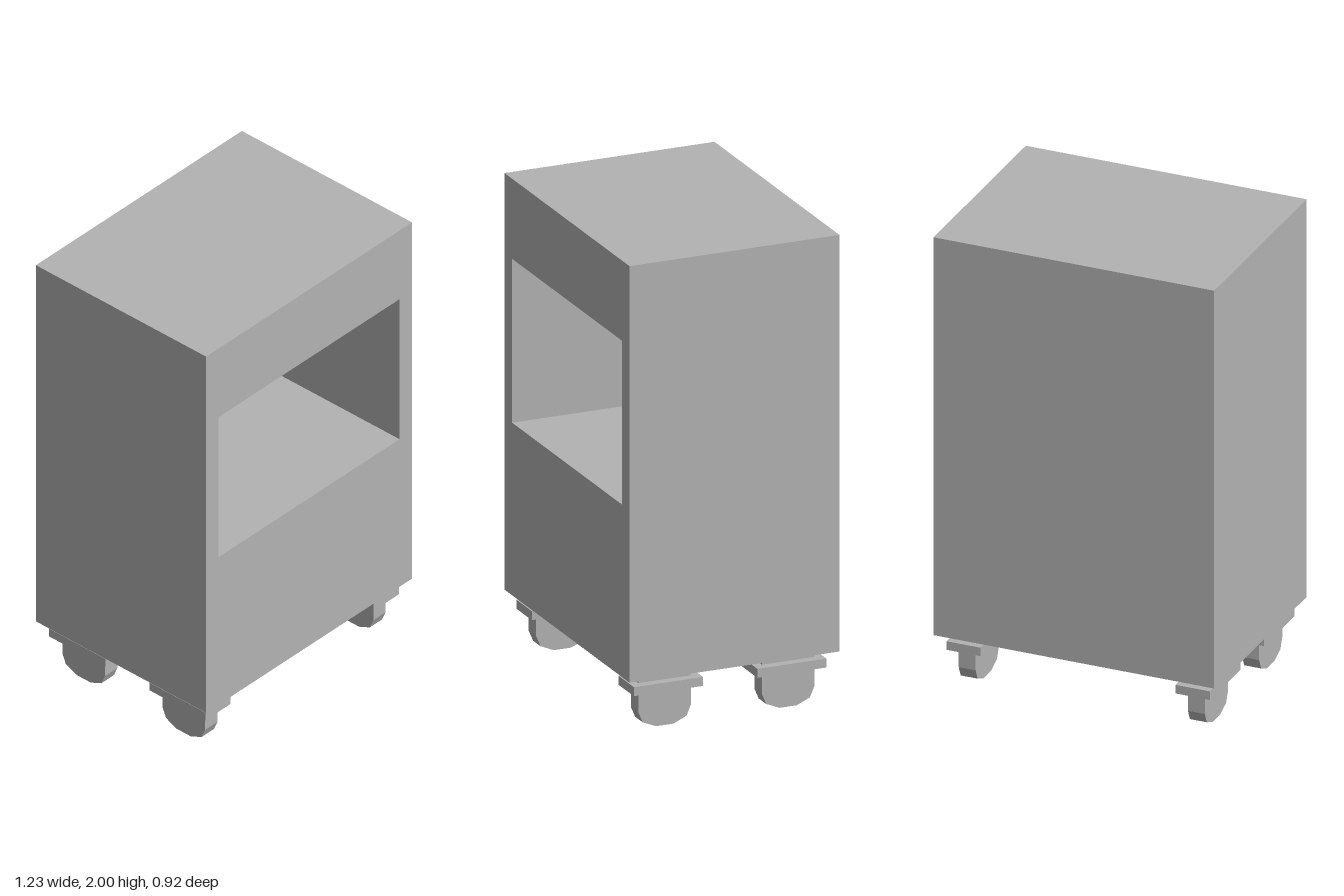
import * as THREE from 'three';

const grey = new THREE.MeshStandardMaterial({ color: 0xb2b2b2 });
grey.name = 'plain grey';

function addMesh(parent, name, geometry, x = 0, y = 0, z = 0) {
  const mesh = new THREE.Mesh(geometry, grey);
  mesh.name = name;
  mesh.position.set(x, y, z);
  parent.add(mesh);
  return mesh;
}

// Rectangle corners in order, from two opposite corners
function rectangle(x0, y0, x1, y1) {
  return [[x0, y0], [x1, y0], [x1, y1], [x0, y1]].map(([x, y]) => new THREE.Vector2(x, y));
}

// Rounded-bottom wheel block, extruded across its width
function wheelGeometry(width) {
  const half = [[0.115, 0.233], [0.115, 0.072], [0.096, 0.027], [0.038, 0.002]];
  const points = [
    ...half.map(([z, y]) => new THREE.Vector2(z, y)),
    ...half.slice().reverse().map(([z, y]) => new THREE.Vector2(-z, y)),
  ];
  const geometry = new THREE.ExtrudeGeometry(new THREE.Shape(points), { depth: width, bevelEnabled: false });
  geometry.translate(0, 0, -width / 2);
  geometry.rotateY(Math.PI / 2);
  return geometry;
}

export function createModel() {
  const model = new THREE.Group();
  model.name = 'cabinetOnCasters';

  const halfWidth = 0.613, halfDepth = 0.46, bottom = 0.233, top = 2, backThickness = 0.035;

  // Cabinet shell with the open compartment
  const outline = new THREE.Shape(rectangle(-halfWidth, bottom, halfWidth, top));
  outline.holes.push(new THREE.Path(rectangle(-0.538, 0.965, 0.538, 1.66)));
  const shell = new THREE.ExtrudeGeometry(outline, { depth: 2 * halfDepth - backThickness, bevelEnabled: false });
  addMesh(model, 'cabinetShell', shell, 0, 0, -halfDepth + backThickness);

  // Back panel closes the compartment
  addMesh(model, 'backPanel', new THREE.BoxGeometry(2 * halfWidth, top - bottom, backThickness),
    0, (top + bottom) / 2, -halfDepth + backThickness / 2);

  // Four casters, each a wheel block with a mounting plate
  const wheel = wheelGeometry(0.074);
  const plate = new THREE.BoxGeometry(0.15, 0.038, 0.303);
  for (const [side, x] of [['Left', 0.499], ['Right', -0.502]]) {
    for (const [end, z] of [['front', 0.272], ['back', -0.269]]) {
      const caster = new THREE.Group();
      caster.name = `${end}${side}Caster`;
      caster.position.set(x, 0, z);
      addMesh(caster, 'wheel', wheel);
      addMesh(caster, 'mountingPlate', plate, 0, 0.177, 0);
      model.add(caster);
    }
  }
  return model;
}
